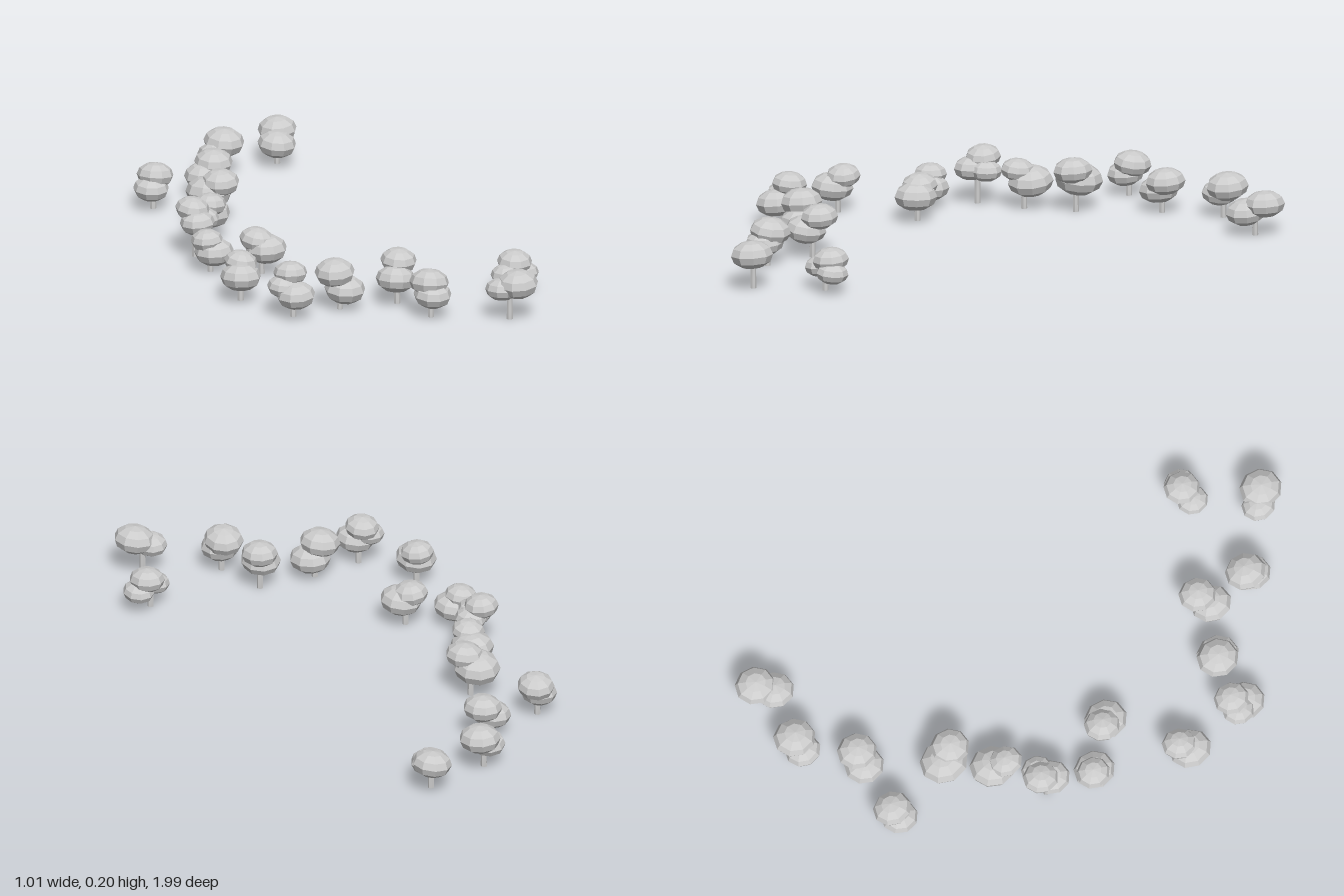
import * as THREE from 'three';

// Main crown x, y, z, radius, then the lower crown's offset x, y, z and radius
const TREES = [
  [0.44, 0.11, -0.93, 0.068, -0.035, -0.03, 0.055, 0.067],
  [0.21, 0.115, -0.9, 0.071, -0.043, -0.035, 0.01, 0.06],
  [-0.17, 0.115, -0.725, 0.064, -0.025, -0.04, 0.015, 0.062],
  [0.068, 0.115, -0.735, 0.067, -0.043, -0.04, 0.005, 0.067],
  [-0.075, 0.15, -0.455, 0.066, -0.025, -0.04, -0.035, 0.081],
  [-0.205, 0.137, -0.31, 0.057, 0.017, -0.04, -0.04, 0.077],
  [-0.32, 0.163, -0.235, 0.06, -0.005, -0.038, 0.04, 0.061],
  [-0.37, 0.11, -0.06, 0.056, 0.02, -0.04, 0.015, 0.069],
  [-0.213, 0.09, 0.07, 0.072, -0.022, 0.03, -0.025, 0.061],
  [-0.42, 0.13, 0.243, 0.058, -0.02, -0.04, 0.032, 0.071],
  [-0.363, 0.148, 0.473, 0.059, -0.007, -0.065, 0.047, 0.068],
  [-0.205, 0.13, 0.503, 0.07, 0.03, -0.06, 0.017, 0.071],
  [0.023, 0.145, 0.545, 0.063, -0.033, -0.05, 0.035, 0.069],
  [0.03, 0.12, 0.733, 0.069, 0, -0.038, 0.022, 0.066],
  [0.4, 0.113, 0.683, 0.061, -0.045, -0.033, 0.017, 0.053],
  [0.27, 0.125, 0.917, 0.071, -0.045, -0.02, -0.032, 0.057],
];

const material = new THREE.MeshStandardMaterial({ color: 0xcccccc, flatShading: true });
const trunkGeometry = new THREE.CylinderGeometry(0.009, 0.011, 1, 7);
const crownGeometry = new THREE.SphereGeometry(1, 9, 6);

// Flattened leaf clump, tilted a little by its place in the row
function addCrown(tree, name, x, y, z, radius, seed) {
  const crown = new THREE.Mesh(crownGeometry, material);
  crown.name = name;
  crown.position.set(x, y, z);
  crown.scale.set(0.97 * radius, 0.68 * radius, 1.04 * radius);
  crown.rotation.set(0.1 * Math.sin(seed * 2.3), 0, 0.1 * Math.cos(seed * 1.7));
  tree.add(crown);
}

function makeTree([x, y, z, radius, dx, dy, dz, lowerRadius], index) {
  const tree = new THREE.Group();
  tree.name = `tree${index + 1}`;

  // Trunk stands between the two crowns and reaches into the main one
  const trunk = new THREE.Mesh(trunkGeometry, material);
  trunk.name = 'trunk';
  trunk.scale.y = y;
  trunk.position.set(x + dx / 2, y / 2, z + dz / 2);
  tree.add(trunk);

  addCrown(tree, 'mainCrown', x, y, z, radius, index);
  addCrown(tree, 'lowerCrown', x + dx, y + dy, z + dz, lowerRadius, index + 1);

  // Every fourth tree from the seventh carries a third, smaller clump
  if (index >= 6 && index % 4 === 2) {
    const side = index === 6 ? 0.04 : index === 10 ? -0.035 : 0.03;
    addCrown(tree, 'sideCrown', x + side, y - 0.04, z + 0.008, 0.054, index + 2);
  }
  return tree;
}

export function createModel() {
  const group = new THREE.Group();
  group.name = 'treeRow';
  TREES.forEach((data, i) => group.add(makeTree(data, i)));
  return group;
}
